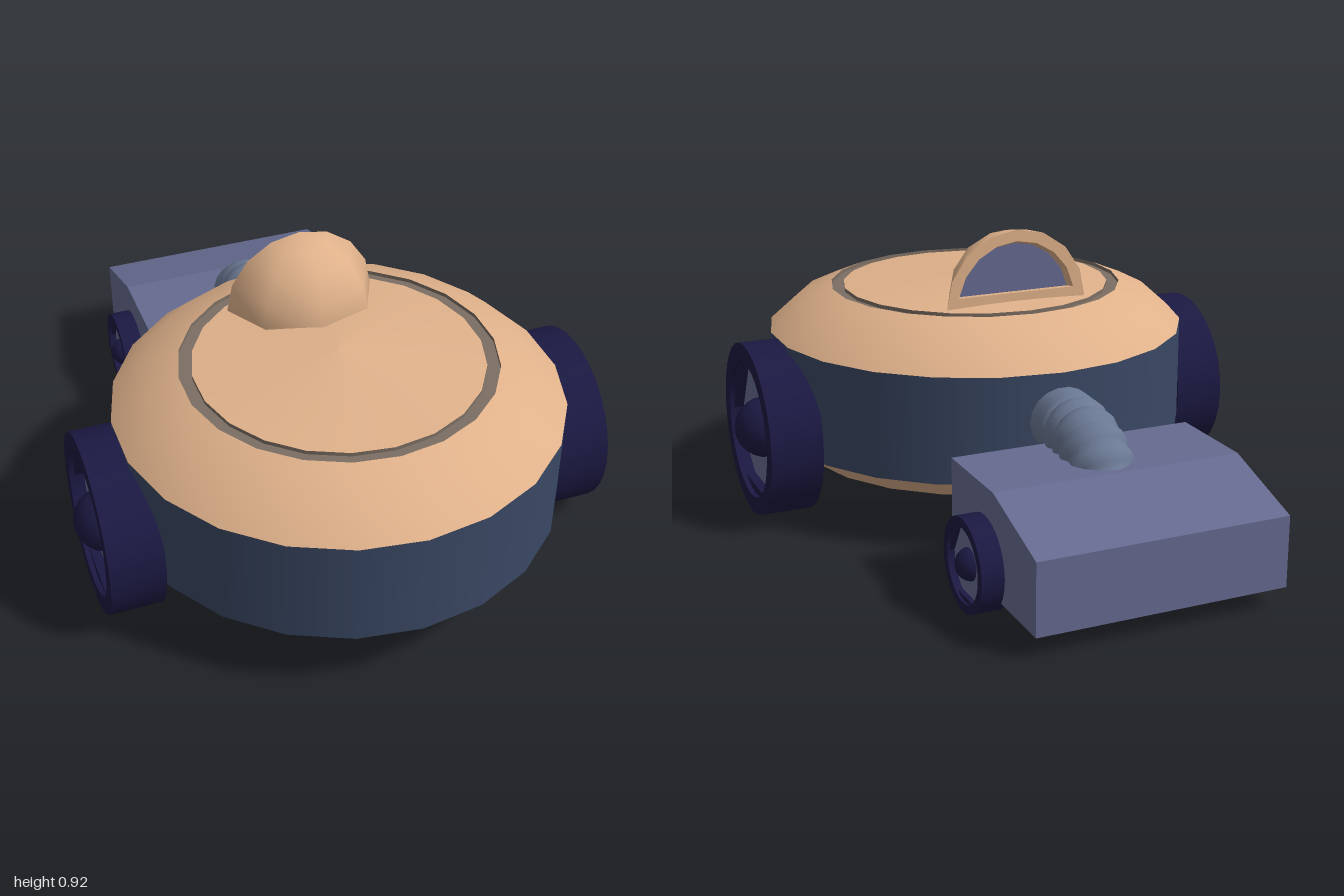
import * as THREE from 'three';
import { toCreasedNormals } from 'three/addons/utils/BufferGeometryUtils.js';

const paint = (color) => new THREE.MeshStandardMaterial({ color });
const tan = paint(0xdfb18a), navy = paint(0x3a4864), dark = paint(0x1b1942);
const slate = paint(0x666b90), pipe = paint(0x6a7893), grey = paint(0x7c6e63), black = paint(0x060606);

function add(parent, name, geometry, material, x = 0, y = 0, z = 0) {
  const mesh = new THREE.Mesh(geometry, material);
  mesh.name = name;
  mesh.position.set(x, y, z);
  parent.add(mesh);
  return mesh;
}

const lathe = (points, sides) =>
  new THREE.LatheGeometry(points.map(([r, y]) => new THREE.Vector2(r, y)), sides);

const extrude = (shape, depth) =>
  new THREE.ExtrudeGeometry(shape, { depth, bevelEnabled: false, curveSegments: 16 });

const polygon = (points) => new THREE.Shape(points.map(([x, y]) => new THREE.Vector2(x, y)));

const rectangle = (w, d) => polygon([[-w, -d], [w, -d], [w, d], [-w, d]]);

// Upper half circle closed by a flat base
function halfDisc(radius, base, steps = 8) {
  const start = Math.asin(base / radius);
  const points = [];
  for (let i = 0; i <= steps; i++) {
    const a = start + (Math.PI - 2 * start) * i / steps;
    points.push([radius * Math.cos(a), radius * Math.sin(a)]);
  }
  return polygon(points);
}

// Wheel whose outer face looks along +x, inner face on x = 0
function makeWheel(name) {
  const outer = new THREE.Group(), wheel = new THREE.Group();
  outer.name = name;
  wheel.rotation.z = -Math.PI / 2;
  outer.add(wheel);
  const tyre = lathe([[0, 0], [0.278, 0], [0.278, 0.165], [0.222, 0.165], [0.222, 0.11]], 32);
  add(wheel, 'tyre', toCreasedNormals(tyre, 0.6), dark);
  add(wheel, 'wheelDisc', new THREE.CylinderGeometry(0.224, 0.224, 0.02, 32), slate, 0, 0.11, 0);
  // Three wide spokes, one of them pointing down
  for (let i = 0; i < 3; i++) {
    const a = i * Math.PI * 2 / 3;
    const sector = new THREE.Shape();
    sector.moveTo(0, 0);
    sector.absarc(0, 0, 0.223, a - Math.PI / 6, a + Math.PI / 6, false);
    const spoke = extrude(sector, 0.04).rotateX(-Math.PI / 2);
    add(wheel, 'spoke', spoke, dark, 0, 0.11, 0);
  }
  add(wheel, 'hub', new THREE.SphereGeometry(0.098, 20, 12), dark, 0, 0.107, 0);
  return outer;
}

export function createModel() {
  const model = new THREE.Group();

  // Round body, each band with its own crisp edges
  const body = new THREE.Group();
  body.name = 'body';
  body.position.z = 0.32;
  model.add(body);
  const bands = [
    ['underside', [[0, 0.16], [0.595, 0.16]], tan],
    ['lowerBevel', [[0.595, 0.16], [0.68, 0.225]], tan],
    ['sideBand', [[0.68, 0.225], [0.68, 0.56]], navy],
    ['topShell', [[0.68, 0.56], [0.585, 0.645], [0.475, 0.69]], tan],
    ['grooveOuterWall', [[0.475, 0.69], [0.475, 0.678]], grey],
    ['grooveFloor', [[0.475, 0.678], [0.435, 0.678]], grey],
    ['grooveInnerWall', [[0.435, 0.678], [0.435, 0.69]], grey],
    ['lid', [[0.435, 0.69], [0, 0.73]], tan],
  ];
  for (const [name, points, material] of bands) add(body, name, lathe(points, 22), material);

  // Half dome on the lid with a framed window at its back
  const dome = new THREE.Group();
  dome.name = 'dome';
  dome.position.set(0, 0.69, -0.02);
  model.add(dome);
  const shell = new THREE.SphereGeometry(0.235, 4, 4, 0, Math.PI, 0, Math.PI / 2);
  add(dome, 'domeShell', shell.scale(1, 1, 0.95), tan);
  const frameShape = halfDisc(0.235, 0);
  frameShape.holes.push(halfDisc(0.198, 0.035));
  const frame = extrude(frameShape, 0.03);
  const fp = frame.attributes.position;
  for (let i = 0; i < fp.count; i++) {
    if (fp.getZ(i) > 0.01) fp.setXY(i, fp.getX(i) * 0.94, fp.getY(i) * 0.94);
  }
  frame.computeVertexNormals();
  add(dome, 'windowFrame', frame, tan);
  add(dome, 'window', new THREE.ShapeGeometry(halfDisc(0.215, 0.01)).rotateY(Math.PI), slate, 0, 0, 0.026);

  // Large body wheels and half-size nozzle wheels
  for (const side of [1, -1]) {
    for (const [name, x, y, z, size] of [
      ['bodyWheel', 0.625, 0.28, 0.317, 1],
      ['nozzleWheel', 0.37, 0.145, -0.66, 0.5],
    ]) {
      const wheel = makeWheel(name);
      wheel.position.set(side * x, y, z);
      wheel.rotation.y = side > 0 ? 0 : Math.PI;
      wheel.scale.setScalar(size);
      model.add(wheel);
    }
  }

  // Nozzle box: side profile (x = -z) swept across the width
  const nozzle = new THREE.Group();
  nozzle.name = 'nozzle';
  model.add(nozzle);
  const profile = polygon([[0.42, 0.115], [1, 0.115], [1, 0.28], [0.72, 0.37], [0.42, 0.37]]);
  add(nozzle, 'nozzleBox', extrude(profile, 0.77).rotateY(Math.PI / 2), slate, -0.385, 0, 0);
  // Rim and dark intake underneath
  const rim = rectangle(0.385, 0.29);
  rim.holes.push(rectangle(0.315, 0.22));
  add(nozzle, 'intakeRim', extrude(rim, 0.05).rotateX(-Math.PI / 2), slate, 0, 0.065, -0.71);
  add(nozzle, 'intake', new THREE.PlaneGeometry(0.63, 0.44).rotateX(Math.PI / 2), black, 0, 0.112, -0.71);

  // Hose from body to nozzle, plain at first and then ribbed
  const path = new THREE.CatmullRomCurve3([
    [0.41, -0.3], [0.41, -0.43], [0.385, -0.54], [0.315, -0.62], [0.22, -0.65],
  ].map(([y, z]) => new THREE.Vector3(0, y, z)));
  const steps = 60, sides = 18;
  const hose = new THREE.TubeGeometry(path, steps, 0.103, sides);
  const hp = hose.attributes.position, v = new THREE.Vector3();
  for (let i = 0; i <= steps; i++) {
    const u = i / steps, center = path.getPointAt(u);
    const phase = (((u - 0.28) / 0.72) * 6) % 1;
    const swell = u < 0.28 ? 1 : 0.92 + 0.1 * Math.sin(Math.PI * phase);
    for (let j = 0; j <= sides; j++) {
      const k = i * (sides + 1) + j;
      v.fromBufferAttribute(hp, k).sub(center).multiplyScalar(swell).add(center);
      hp.setXYZ(k, v.x, v.y, v.z);
    }
  }
  add(model, 'hose', toCreasedNormals(hose, 0.5), pipe);

  return model;
}
